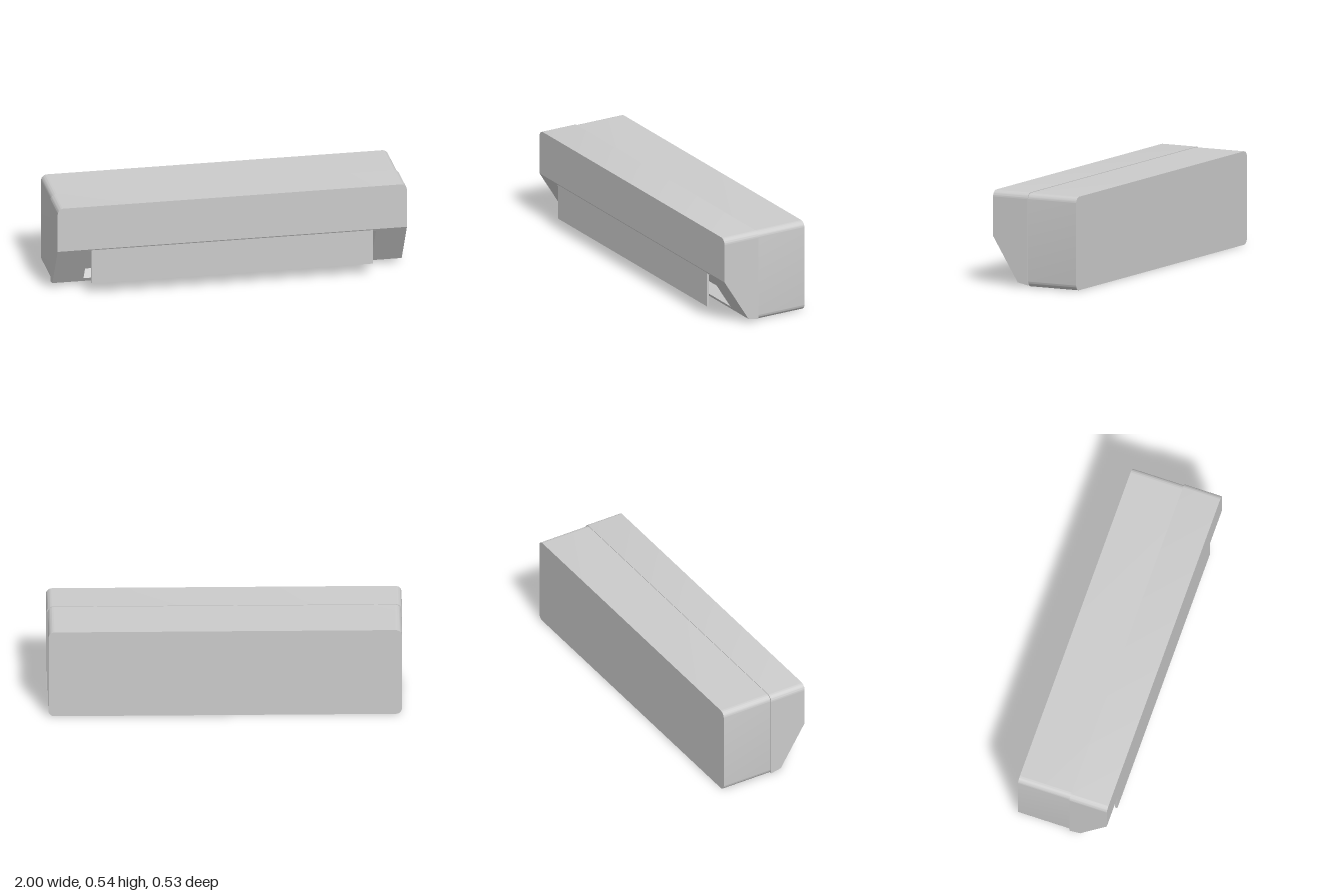
import * as THREE from 'three';
import { toCreasedNormals } from 'three/addons/utils/BufferGeometryUtils.js';

const material = new THREE.MeshStandardMaterial({ color: 0xcccccc });

function addPart(group, name, geometry) {
  const mesh = new THREE.Mesh(geometry, material);
  mesh.name = name;
  group.add(mesh);
  return mesh;
}

// Front outline (x, y) with rounded top and optional rounded bottom corners, extruded from z0 to z1
function roundedSlab(halfWidth, y0, y1, topRadius, bottomRadius, z0, z1) {
  const w = halfWidth, t = topRadius, b = bottomRadius;
  const s = new THREE.Shape();
  s.moveTo(-w + b, y0);
  s.lineTo(w - b, y0);
  if (b) s.absarc(w - b, y0 + b, b, -Math.PI / 2, 0);
  s.lineTo(w, y1 - t);
  s.absarc(w - t, y1 - t, t, 0, Math.PI / 2);
  s.lineTo(-w + t, y1);
  s.absarc(-w + t, y1 - t, t, Math.PI / 2, Math.PI);
  s.lineTo(-w, y0 + b);
  if (b) s.absarc(-w + b, y0 + b, b, Math.PI, Math.PI * 1.5);
  const g = new THREE.ExtrudeGeometry(s, { depth: z1 - z0, bevelEnabled: false, curveSegments: 10 });
  g.translate(0, 0, z0);
  return toCreasedNormals(g, 0.5);
}

// Side outline of [z, y] points, extruded along x from x0 to x1
function sideProfile(points, x0, x1) {
  const s = new THREE.Shape(points.map(([z, y]) => new THREE.Vector2(z, y)));
  const g = new THREE.ExtrudeGeometry(s, { depth: x1 - x0, bevelEnabled: false });
  g.rotateY(-Math.PI / 2);
  g.translate(x1, 0, 0);
  return g;
}

export function createModel() {
  const group = new THREE.Group();
  group.name = 'wallUnit';

  const seamZ = 0.043, frontZ = 0.265, capY = 0.498, slotX = 0.825;

  // Rear housing, rounded on all four long edges
  addPart(group, 'rearHousing', roundedSlab(0.994, 0, 0.532, 0.035, 0.035, -frontZ, seamZ));

  // Front cover: rounded top, slanted lower front
  addPart(group, 'coverTop', roundedSlab(1, capY, 0.535, 0.036, 0, seamZ, frontZ));
  const bottom = [[seamZ, 0.01], [0.107, 0.023]];
  const upper = [[frontZ, 0.275], [frontZ, capY], [seamZ, capY]];
  const cheek = [...bottom, ...upper];
  addPart(group, 'coverLeftEnd', sideProfile(cheek, slotX, 1));
  addPart(group, 'coverRightEnd', sideProfile(cheek, -1, -slotX));

  // Middle of the cover, with the outlet recess cut square into the slant
  const recess = [[0.121, 0.045], [0.065, 0.08], [0.2, 0.295], [0.256, 0.26]];
  addPart(group, 'coverOutlet', sideProfile([...bottom, ...recess, ...upper], -slotX, slotX));

  // Thin flap hanging in front of the outlet
  const flap = [[0.248, 0.065], [0.261, 0.065], [0.261, 0.272], [0.248, 0.255]];
  addPart(group, 'outletFlap', sideProfile(flap, -0.805, 0.805));

  return group;
}
